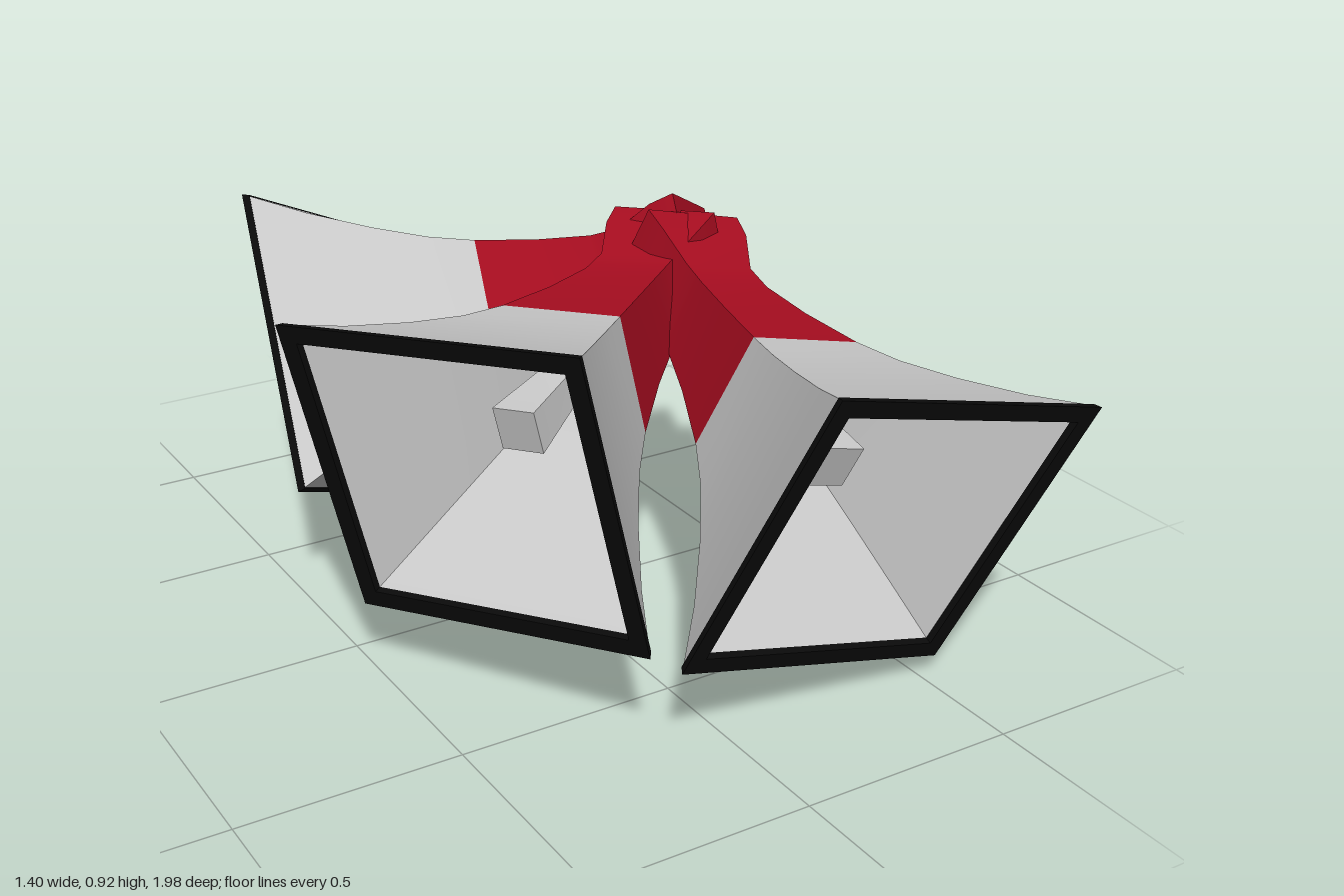
import * as THREE from 'three';

const paint = (color) => new THREE.MeshStandardMaterial({ color, side: THREE.DoubleSide });
const grey = paint(0xcccccc);
const red = paint(0xa80d20);
const black = paint(0x0a0a0a);

// Square loft along z: profile is a list of [depth behind the mouth, width].
// Each of the four sides has its own vertices, so the corners stay sharp.
function squareLoft(name, profile, material) {
  const positions = [];
  const index = [];
  const corners = [[-1, -1], [1, -1], [1, 1], [-1, 1]];
  for (let side = 0; side < 4; side++) {
    const a = corners[side];
    const b = corners[(side + 1) % 4];
    const base = positions.length / 3;
    profile.forEach(([depth, width], i) => {
      for (const c of [a, b]) positions.push(c[0] * width / 2, c[1] * width / 2, -depth);
      if (i > 0) {
        const k = base + 2 * i;
        index.push(k - 2, k, k - 1, k - 1, k, k + 1);
      }
    });
  }
  const geometry = new THREE.BufferGeometry();
  geometry.setAttribute('position', new THREE.Float32BufferAttribute(positions, 3));
  geometry.setIndex(index);
  geometry.computeVertexNormals();
  const mesh = new THREE.Mesh(geometry, material);
  mesh.name = name;
  return mesh;
}

// Flat square plate facing along z
function plate(name, width, depth, material) {
  const mesh = new THREE.Mesh(new THREE.PlaneGeometry(width, width), material);
  mesh.position.z = -depth;
  mesh.name = name;
  return mesh;
}

// One flared horn, placed by its mouth centre and the mouth's across and up directions
function horn(name, centre, across, up) {
  const group = new THREE.Group();
  group.name = name;

  // outer skin: grey flare, red neck with a pinched waist and a wider butt end
  group.add(squareLoft('flare', [[0.015, 0.685], [0.12, 0.565], [0.245, 0.445], [0.36, 0.35], [0.46, 0.288]], grey));
  group.add(squareLoft('neck', [[0.46, 0.288], [0.6, 0.225], [0.72, 0.185], [0.79, 0.182], [0.88, 0.24], [0.94, 0.255]], red));
  group.add(plate('neckEnd', 0.255, 0.94, red));

  // inner skin and throat
  group.add(squareLoft('innerFlare', [[0.015, 0.62], [0.12, 0.52], [0.245, 0.41], [0.36, 0.32], [0.46, 0.26], [0.6, 0.2], [0.72, 0.165]], grey));
  group.add(plate('throat', 0.165, 0.72, grey));

  // black mouth frame
  group.add(squareLoft('rimEdge', [[0.016, 0.69], [0, 0.7]], black));
  group.add(squareLoft('rimFace', [[0, 0.7], [0, 0.62]], black));
  group.add(squareLoft('rimInside', [[0, 0.62], [0.016, 0.618]], black));

  // small plug reaching forward from the throat
  group.add(squareLoft('plug', [[0.72, 0.16], [0.5, 0.09], [0.38, 0.075], [0.22, 0.1]], grey));
  group.add(plate('plugTip', 0.1, 0.22, grey));

  const x = new THREE.Vector3(...across).normalize();
  const z = new THREE.Vector3().crossVectors(x, new THREE.Vector3(...up)).normalize();
  const y = new THREE.Vector3().crossVectors(z, x);
  group.quaternion.setFromRotationMatrix(new THREE.Matrix4().makeBasis(x, y, z));
  group.position.set(...centre);
  return group;
}

export function createModel() {
  const model = new THREE.Group();
  model.name = 'hornCluster';
  model.add(horn('frontHorn', [0.28, 0.467, 0.865], [0.67, -0.17, -0.02], [0.17, 0.635, 0.23]));
  model.add(horn('rightHorn', [-0.443, 0.563, 0.415], [0.34, 0.08, 0.63], [-0.175, 0.685, 0]));
  model.add(horn('backHorn', [-0.24, 0.458, -0.61], [-0.52, 0.295, 0.39], [0.05, 0.6, -0.37]));
  return model;
}
